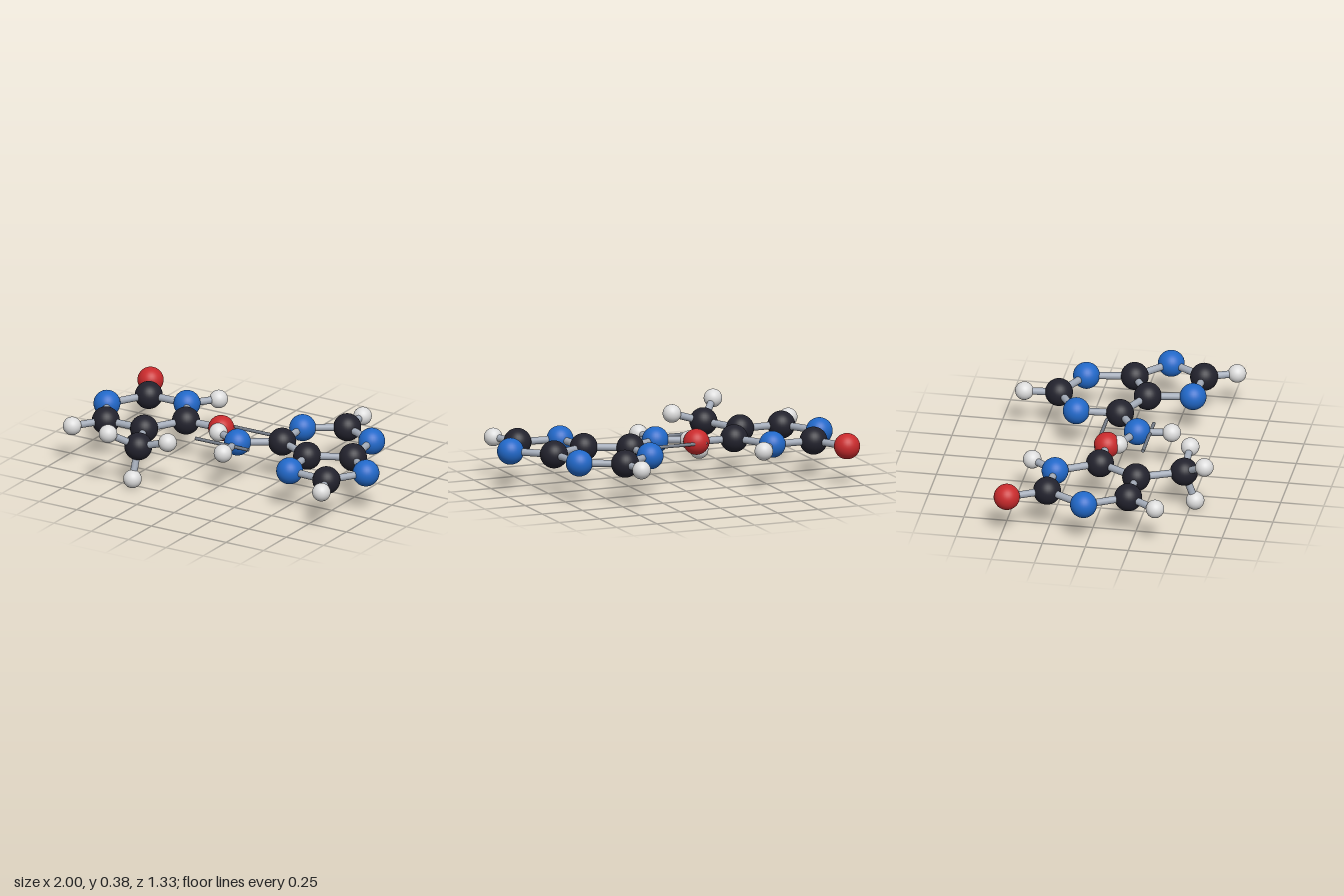
import * as THREE from 'three';

const PLANE = 0.233; // height of the flat rings

function material(name, color) {
  const m = new THREE.MeshStandardMaterial({ color });
  m.name = name;
  return m;
}

export function createModel() {
  const model = new THREE.Group();
  model.name = 'basePair';

  const rodMat = material('bond grey', 0xa3abb8);
  const linkMat = material('link grey', 0x747b86);

  // Atom kinds: shared sphere and colour
  const kind = (name, radius, matName, color) => ({
    name,
    geometry: new THREE.SphereGeometry(radius, 32, 20),
    material: material(matName, color),
  });
  const C = kind('carbon', 0.08, 'charcoal', 0x22222d);
  const N = kind('nitrogen', 0.077, 'blue', 0x2168c8);
  const O = kind('oxygen', 0.075, 'red', 0xc92a2c);
  const H = kind('hydrogen', 0.053, 'pale grey', 0xdcdcdc);

  // Rod between two points
  function rod(parent, name, a, b, radius, mat) {
    const dir = b.clone().sub(a);
    const mesh = new THREE.Mesh(new THREE.CylinderGeometry(radius, radius, dir.length(), 16), mat);
    mesh.position.copy(a).add(b).multiplyScalar(0.5);
    mesh.quaternion.setFromUnitVectors(new THREE.Vector3(0, 1, 0), dir.normalize());
    mesh.name = name;
    parent.add(mesh);
  }

  // Molecule from atoms [kind, x, z, y?] and bonds between their indices
  function molecule(name, atoms, bonds) {
    const group = new THREE.Group();
    group.name = name;
    const points = atoms.map(([k, x, z, y = PLANE]) => {
      const mesh = new THREE.Mesh(k.geometry, k.material);
      mesh.name = k.name + 'Atom';
      mesh.position.set(x, y, z);
      group.add(mesh);
      return mesh.position;
    });
    for (const [i, j] of bonds) rod(group, 'bond', points[i], points[j], 0.021, rodMat);
    model.add(group);
  }

  // Single six-sided ring with a methyl arm
  molecule('singleRing', [
    [C, -0.786, -0.26], [N, -0.53, -0.26], [C, -0.393, -0.024],
    [C, -0.53, 0.211], [C, -0.786, 0.211], [N, -0.922, -0.024],
    [O, -0.904, -0.473], [H, -0.412, -0.414], [O, -0.158, -0.026],
    [H, -0.904, 0.388], [C, -0.412, 0.468],
    [H, -0.216, 0.468, 0.295], [H, -0.53, 0.607, 0.332], [H, -0.412, 0.532, 0.055],
  ], [
    [0, 1], [1, 2], [2, 3], [3, 4], [4, 5], [5, 0],
    [0, 6], [1, 7], [2, 8], [4, 9], [3, 10], [10, 11], [10, 12], [10, 13],
  ]);

  // Fused six- and five-sided rings with an amine arm
  molecule('doubleRing', [
    [C, 0.251, -0.024], [N, 0.235, -0.275], [C, 0.449, -0.414],
    [N, 0.684, -0.297], [C, 0.725, -0.024], [C, 0.49, 0.094],
    [N, 0.529, 0.35], [C, 0.786, 0.368], [N, 0.92, 0.153],
    [N, 0.037, 0.115], [H, -0.139, 0.038], [H, 0.059, 0.311],
    [H, 0.431, -0.612], [H, 0.861, 0.546],
  ], [
    [0, 1], [1, 2], [2, 3], [3, 4], [4, 5], [5, 0],
    [5, 6], [6, 7], [7, 8], [8, 4],
    [0, 9], [9, 10], [9, 11], [2, 12], [7, 13],
  ]);

  // Two thin links lying between the molecules
  for (const z of [-0.083, 0.19]) {
    rod(model, 'thinLink', new THREE.Vector3(-0.198, PLANE, z),
      new THREE.Vector3(0.156, PLANE, z), 0.01, linkMat);
  }

  return model;
}
